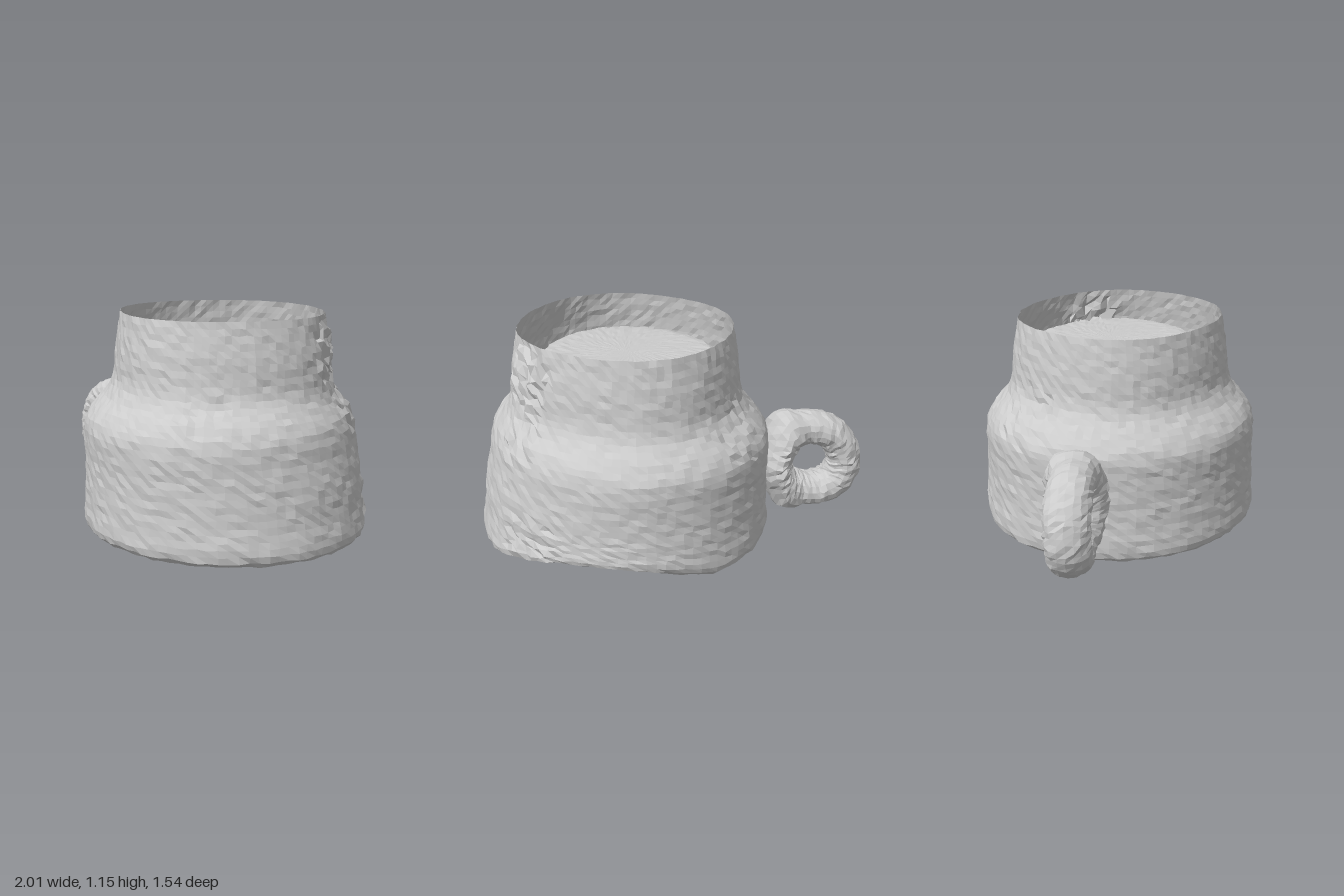
import * as THREE from 'three';

const material = new THREE.MeshStandardMaterial({ color: 0xcccccc, flatShading: true, side: THREE.DoubleSide });

// repeatable noise in -1..1 from a position, so seam vertices stay together
function noise(p, seed) {
  const q = v => Math.round(v * 1000) / 1000;
  const s = Math.sin(q(p.x) * 127.1 + q(p.y) * 311.7 + q(p.z) * 74.7 + seed * 19.3) * 43758.5453;
  return (s - Math.floor(s)) * 2 - 1;
}

function roughen(p, amount) {
  const d = [1, 2, 3].map(s => noise(p, s) * amount);
  p.set(p.x + d[0], p.y + d[1], p.z + d[2]);
}

// reshape every vertex by a rule
function deform(geometry, rule) {
  const pos = geometry.attributes.position;
  const p = new THREE.Vector3();
  for (let i = 0; i < pos.count; i++) {
    p.fromBufferAttribute(pos, i);
    rule(p);
    pos.setXYZ(i, p.x, p.y, p.z);
  }
  geometry.computeVertexNormals();
  return geometry;
}

// crumbled patches: centre x, y, z, radius and strength
const patches = [
  [0.58, 0.97, -0.13, 0.19, 0.016],
  [0.68, 0.7, -0.2, 0.15, 0.013],
  [0.65, 0.16, -0.38, 0.18, 0.012],
  [0.25, 0.73, 0.6, 0.13, 0.009],
  [-0.4, 0.72, -0.5, 0.18, 0.009]
];

// height of the chipped foot at an angle around the pot
function chip(angle) {
  const t = (angle + Math.PI / 3) / 0.85;
  return Math.abs(t) < 1 ? 0.13 * Math.cos(t * Math.PI / 2) : 0;
}

// hand-shaped turned surface with a smooth profile
function turned(name, profile, steps) {
  const curve = new THREE.SplineCurve(profile.map(a => new THREE.Vector2(...a)));
  const geometry = new THREE.LatheGeometry(curve.getSpacedPoints(steps), 100);
  deform(geometry, p => {
    const rim = p.y > 1.155;
    const angle = Math.atan2(p.z, p.x);
    let amount = 0.0045 * Math.min(1, Math.hypot(p.x, p.z) / 0.6);
    for (const [x, y, z, radius, strength] of patches) {
      if (Math.hypot(p.x - x, p.y - y, p.z - z) < radius) amount = strength;
    }
    // broken edge at the back of the foot
    if (p.y < 0.3) p.y += chip(angle) * (1 - p.y / 0.3);
    roughen(p, amount);
    if (rim) p.y = 1.16;
    // oval along the diagonal, neck slightly squared
    const neck = THREE.MathUtils.smoothstep(p.y, 0.65, 0.85);
    const oval = 1 + 0.025 * Math.sin(2 * angle) - 0.03 * neck * Math.sin(2 * angle) ** 2;
    p.x *= oval;
    p.z *= oval;
    // sloping left side with a wider foot
    if (p.x > 0) p.x *= 1 + 0.03 * Math.max(0, 1 - p.y / 0.2) - 0.06 * Math.exp(-(((p.y - 0.58) / 0.18) ** 2));
    // axis leans a little
    p.x += 0.225 - 0.015 * p.y;
    p.y = Math.max(0, p.y);
  });
  const mesh = new THREE.Mesh(geometry, material);
  mesh.name = name;
  return mesh;
}

export function createModel() {
  const group = new THREE.Group();
  group.name = 'mug';

  // outer wall with rounded foot, shoulder and tapering neck, open at the top
  group.add(turned('outerWall', [
    [0.7, 0.012], [0.745, 0.03], [0.765, 0.08], [0.757, 0.2], [0.75, 0.4], [0.75, 0.57],
    [0.71, 0.66], [0.64, 0.74], [0.605, 0.82], [0.588, 0.97], [0.57, 1.08], [0.556, 1.16]
  ], 36));

  // inner skin: hollow from below, its flat end shows inside the neck, leaning to the back
  const cavity = turned('innerSkin', [
    [0, 1.025], [0.2, 1.025], [0.4, 1.022], [0.455, 1.005], [0.49, 0.96], [0.53, 0.85], [0.57, 0.75],
    [0.65, 0.64], [0.69, 0.53], [0.7, 0.35], [0.7, 0.12], [0.7, 0.012]
  ], 42);
  deform(cavity.geometry, p => { p.z -= 0.045 * THREE.MathUtils.smoothstep(p.y, 0.6, 1); });
  group.add(cavity);

  // closed handle loop whose inner strand merges with the wall
  const path = new THREE.CatmullRomCurve3([
    [-0.71, 0.575, -0.33], [-0.85, 0.52, -0.36], [-0.915, 0.37, -0.37], [-0.87, 0.25, -0.36],
    [-0.74, 0.205, -0.34], [-0.6, 0.25, -0.31], [-0.53, 0.39, -0.3], [-0.59, 0.535, -0.31]
  ].map(a => new THREE.Vector3(...a)), true);
  const handle = new THREE.Mesh(new THREE.TubeGeometry(path, 56, 0.092, 18, true), material);
  handle.name = 'handle';
  deform(handle.geometry, p => {
    // flare towards the wall
    const near = Math.max(0, p.x + 0.66);
    const mid = -0.3 + Math.min(0, p.x + 0.55) * 0.17;
    const outer = THREE.MathUtils.smoothstep(Math.abs(p.y - 0.39), 0.1, 0.22);
    roughen(p, 0.005);
    p.y = 0.39 + (p.y - 0.39) * (1 + near * 2 * outer);
    p.z = mid + (p.z - mid) * (1.25 + near * 4);
  });
  group.add(handle);

  return group;
}
